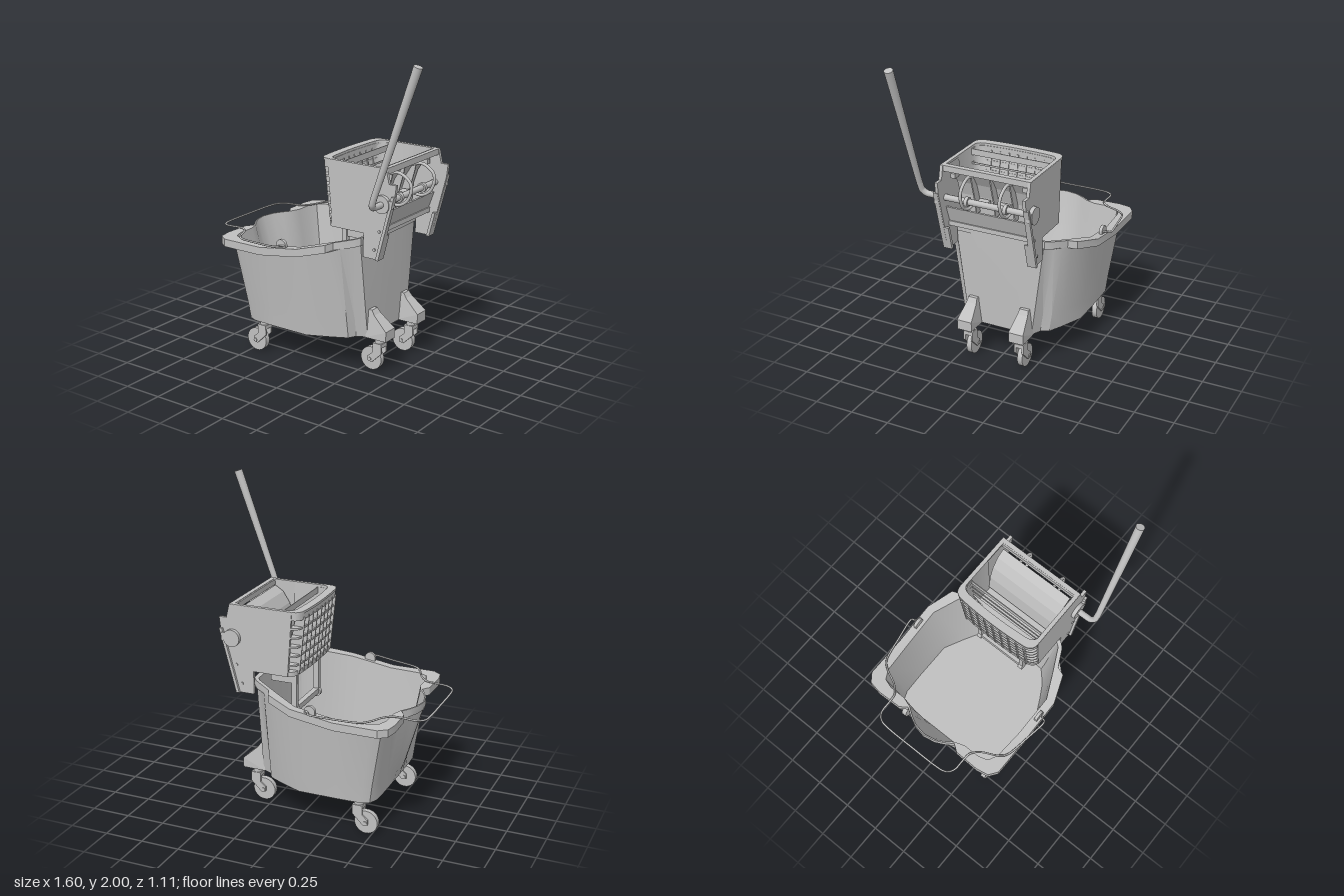
import * as THREE from 'three';
import { toCreasedNormals } from 'three/addons/utils/BufferGeometryUtils.js';

const grey = new THREE.MeshStandardMaterial({ color: 0xc0c0c0, side: THREE.DoubleSide });
grey.name = 'grey plastic';

export function createModel() {
  const model = new THREE.Group();
  const add = (name, geo, x = 0, y = 0, z = 0, parent = model) => {
    const m = new THREE.Mesh(geo, grey);
    m.name = name;
    m.position.set(x, y, z);
    parent.add(m);
    return m;
  };
  const box = (w, h, d) => new THREE.BoxGeometry(w, h, d);
  const disc = (r, d, n = 28) => new THREE.CylinderGeometry(r, r, d, n).rotateX(Math.PI / 2);
  const v3 = (p) => new THREE.Vector3(...p);
  // side profile in x and y, extruded along z and centred on it
  const slab = (pts, d) => new THREE.ExtrudeGeometry(
    new THREE.Shape(pts.map((p) => new THREE.Vector2(...p))), { depth: d, bevelEnabled: false }).translate(0, 0, -d / 2);
  const tube = (pts, r, n = 60, tension = 0.3) => new THREE.TubeGeometry(
    new THREE.CatmullRomCurve3(pts.map(v3), false, 'catmullrom', tension), n, r, 10);

  // skin a list of rings of [x, y, z]
  const loft = (rings, closed) => {
    const n = rings[0].length, index = [];
    for (let i = 0; i < rings.length - 1; i++)
      for (let j = 0; j < (closed ? n : n - 1); j++) {
        const k = (j + 1) % n, a = i * n + j, b = i * n + k, c = b + n, d = a + n;
        index.push(a, d, c, a, c, b);
      }
    const g = new THREE.BufferGeometry();
    g.setAttribute('position', new THREE.Float32BufferAttribute(rings.flat(2), 3));
    g.setIndex(index);
    return toCreasedNormals(g, 0.6);
  };
  // mirror a half outline of [x, z] across z and give it a height
  const ring = (half, y) => {
    const f = typeof y === 'function' ? y : () => y;
    const back = half.slice(1, -1).reverse().map(([x, z]) => [x, -z]);
    return [...half, ...back].map(([x, z]) => [x, f(x), z]);
  };
  const mix = (a, b, t) => a.map((p, i) => [p[0] + (b[i][0] - p[0]) * t, p[1] + (b[i][1] - p[1]) * t]);

  // bucket: inside, rim with skirt, outside; half outlines from spout to rear
  const rimY = (x) => 0.77 + Math.max(0, x + 0.2) * 0.235;
  const rim = [[-.69, 0], [-.675, .08], [-.645, .14], [-.612, .19], [-.645, .235], [-.65, .4], [-.635, .48], [-.58, .52],
    [-.3, .52], [-.02, .52], [.15, .455], [.17, .40], [.28, .345], [.31, .31], [.32, .15], [.32, 0]];
  const mouth = [[-.682, 0], [-.667, .08], [-.637, .135], [-.602, .185], [-.58, .25], [-.58, .36], [-.56, .42], [-.5, .45],
    [-.3, .462], [-.03, .465], [.13, .39], [.17, .37], [.27, .32], [.285, .3], [.29, .15], [.29, 0]];
  const floor = [[-.505, 0], [-.505, .06], [-.505, .12], [-.505, .18], [-.5, .24], [-.5, .32], [-.48, .375], [-.43, .395],
    [-.28, .4], [-.03, .4], [.1, .335], [.18, .29], [.24, .24], [.27, .21], [.275, .1], [.275, 0]];
  const wall = [[-.685, 0], [-.67, .08], [-.64, .14], [-.608, .19], [-.59, .25], [-.59, .36], [-.575, .43], [-.52, .46],
    [-.3, .472], [-.02, .475], [.14, .415], [.21, .385], [.24, .34], [.3, .3], [.315, .15], [.315, 0]];
  const base = [[-.52, 0], [-.52, .06], [-.52, .12], [-.52, .18], [-.52, .24], [-.515, .33], [-.49, .385], [-.44, .405],
    [-.28, .41], [-.03, .41], [.12, .345], [.21, .3], [.235, .25], [.3, .22], [.3, .1], [.3, 0]];
  const spoutFoot = [[-.57, 0], [-.56, .07], [-.545, .13], [-.535, .18], [-.53, .25]];
  const low = mix(wall, base, 0.8).map((p, i) => spoutFoot[i] || p);
  const lowInside = mix(mouth, floor, 0.8).map((p, i) => (spoutFoot[i] ? [spoutFoot[i][0] + 0.015, spoutFoot[i][1]] : p));
  const point = base.map(() => [-0.1, 0]);
  add('bucket', loft([
    ring(point, .25), ring(floor, .25), ring(lowInside, .34), ring(mouth, rimY), ring(rim, rimY),
    ring(rim, (x) => rimY(x) - .05), ring(wall, (x) => rimY(x) - .045),
    ring(low, .34), ring(base, .22), ring(point, .205),
  ], true));

  // casters, with pods carrying the rear pair
  for (const [wx, wz] of [[-.46, .35], [.31, .18]])
    for (const s of [-1, 1]) {
      const c = new THREE.Group();
      c.name = 'caster';
      c.position.set(wx, .075, s * wz);
      model.add(c);
      add('wheel', disc(.075, .034), 0, 0, 0, c);
      add('axle', disc(.012, .075, 12), 0, 0, 0, c);
      for (const t of [-1, 1])
        add('forkCheek', slab([[-.015, -.012], [.015, -.018], [.085, .05], [.085, .11], [.02, .11], [.02, .05], [-.015, .02]], .012), 0, 0, t * .026, c);
      add('forkCrown', box(.065, .025, .064), .0525, .1, 0, c);
      add('stem', new THREE.CylinderGeometry(.028, .028, .06, 20), .052, .13, 0, c);
      if (wx > 0) {
        const pod = slab([[.29, .22], [.44, .22], [.44, .285], [.345, .37], [.325, .4], [.29, .4]], .1);
        const p = pod.attributes.position;
        for (let i = 0; i < p.count; i++) p.setZ(i, p.getZ(i) * (1 - Math.max(0, p.getY(i) - .285) * 3.5));
        pod.computeVertexNormals();
        add('casterPod', pod, 0, 0, s * wz);
      }
    }

  // wire bail and its ears
  const bailHalf = [[-.12, .81, .5], [-.145, .81, .525], [-.165, .808, .548], [-.3, .798, .528], [-.45, .79, .5], [-.505, .787, .45],
    [-.55, .783, .36], [-.6, .78, .31], [-.66, .778, .302], [-.74, .773, .298], [-.785, .77, .26], [-.797, .77, .18]];
  add('bailWire', tube([...bailHalf, [-.798, .77, 0], ...bailHalf.slice().reverse().map(([x, y, z]) => [x, y, -z])], .006, 160, .5));
  for (const s of [-1, 1]) {
    add('bailEar', disc(.035, .02), -.145, .81, s * .495);
    add('bailEarBase', box(.07, .04, .02), -.145, .785, s * .495);
  }

  // wringer basket: plan outline with rounded front corners
  const plan = (x0, x1, w, r) => {
    const s = new THREE.Shape();
    s.moveTo(x1, -w);
    s.lineTo(x1, w);
    s.lineTo(x0 + r, w);
    s.quadraticCurveTo(x0 + .015, w, x0 + .01, w - r);
    s.quadraticCurveTo(x0 - .01, 0, x0 + .01, -w + r);
    s.quadraticCurveTo(x0 + .015, -w, x0 + r, -w);
    return s;
  };
  const flat = (shape, h) => new THREE.ExtrudeGeometry(shape, { depth: h, bevelEnabled: false, curveSegments: 10 }).rotateX(-Math.PI / 2);
  const frontX = (y) => -.012 + (1.34 - y) * .107;
  const linerX = (y) => .035 + (1.34 - y) * .2;
  const band = (y, h) => {
    const s = plan(frontX(y), .48, .3, .07);
    s.holes.push(plan(linerX(y) + .005, .45, .275, .06));
    return flat(s, h);
  };
  const front = (y, h) => {
    const s = plan(frontX(y), .14, .298, .07);
    s.holes.push(plan(linerX(y), .135, .27, .06));
    return flat(s, h);
  };
  add('basketRim', band(1.325, .015), 0, 1.325);
  add('basketUpperBand', front(1.285, .04), 0, 1.285);
  for (let i = 1; i <= 5; i++) add('grilleShelf', front(1.285 - i * .06, .012), 0, 1.285 - i * .06);
  add('basketLowerBand', front(.92, .03), 0, .92);
  add('basketFloor', flat(plan(.04, .33, .28, .06), .012), 0, .92);
  for (let i = -4; i <= 4; i++) {
    const z = i * .06;
    add('grilleRib', slab([[frontX(1.3), 1.3], [linerX(1.3) + .01, 1.3], [linerX(.93) + .01, .93], [frontX(.93), .93]], .01), .004 - (.002 * (4 - Math.abs(i))), 0, z);
  }
  const liner = (y, w) => {
    const x = linerX(y);
    const h = [[x, 0], [x + .005, w - .1], [x + .012, w - .055], [x + .03, w - .02], [x + .065, w], [.3, w]];
    return [...h.slice().reverse().map(([a, b]) => [a, y, -b]), ...h.slice(1).map(([a, b]) => [a, y, b])];
  };
  add('basketLiner', loft([liner(1.335, .275), liner(.93, .26)], false));

  // side plates with rear flanges, hubs and bolts
  const side = [[.06, 1.338], [.48, 1.338], [.5, 1.25], [.55, 1.25], [.54, 1.17], [.435, .77], [.32, .77], [.32, .92], [.09, .92]];
  for (const s of [-1, 1]) {
    add('sidePlate', slab(side, .02), 0, 0, s * .291);
    add('sideRearEdge', slab([[.545, 1.18], [.435, .77], [.415, .77], [.525, 1.18]], .03), 0, 0, s * .302);
    add('sideFoot', slab([[.477, .93], [.435, .77], [.415, .77], [.457, .93]], .06), 0, 0, s * .287);
    add('shaftHub', disc(.055, .034), .46, 1.125, s * .308);
    add('hubStop', box(.05, .05, .024), .505, 1.13, s * .308);
    for (const [x, y] of [[.435, .95], [.4, .83]]) add('bolt', disc(.009, .012, 12), x, y, s * .302);
    add('hangerPlate', box(.18, .1, .018), .17, .88, s * .17);
    add('hangerLeg', box(.035, .26, .03), .1, .77, s * .17);
    add('hangerFoot', disc(.03, .03, 18), .1, .65, s * .17);
  }
  add('hangerBar', box(.035, .035, .34), .1, .66, 0);

  // rear frame and curved press plate
  add('rearTopBar', box(.04, .035, .56), .46, 1.32, 0);
  add('rearLowerPanel', slab([[.44, 1.06], [.455, 1.06], [.415, .95], [.4, .95]], .56));
  add('rearLowerBar', box(.05, .03, .56), .4, .94, 0);
  add('pressPlate', slab([[.29, .96], [.3, 1.1], [.33, 1.2], [.375, 1.27], [.43, 1.305], [.435, 1.29], [.39, 1.26], [.345, 1.19], [.315, 1.1], [.305, .96]], .52));
  for (const z of [-.13, 0, .13])
    add('pressRib', slab([[.3, 1.0], [.31, 1.12], [.35, 1.21], [.42, 1.29], [.405, 1.22], [.37, 1.1], [.35, 1.0]], .008), 0, 0, z);
  for (const s of [-1, 1]) {
    add('pressStop', box(.05, .03, .03), .41, 1.26, s * .24);
    add('pressFoot', box(.06, .03, .07), .37, 1.09, s * .07);
    add('pressArm', tube([[.38, 1.26, 0], [.46, 1.275, 0], [.53, 1.235, 0], [.545, 1.18, 0], [.515, 1.11, 0], [.45, 1.075, 0], [.36, 1.09, 0]], .01, 40, .5), 0, 0, s * .13);
    add('armCollar', disc(.03, .022), .46, 1.125, s * .13);
  }

  // shaft bending into the lever, with a flared grip
  add('leverShaft', tube([[.46, 1.125, -.3], [.46, 1.125, .1], [.46, 1.125, .38], [.463, 1.132, .415], [.473, 1.155, .435], [.49, 1.205, .44]], .02, 80));
  const a = v3([.485, 1.19, .44]), b = v3([.775, 1.992, .442]);
  const lever = add('leverGrip', new THREE.CylinderGeometry(.027, .019, a.distanceTo(b), 24));
  lever.position.copy(a).lerp(b, .5);
  lever.quaternion.setFromUnitVectors(new THREE.Vector3(0, 1, 0), b.clone().sub(a).normalize());
  return model;
}
